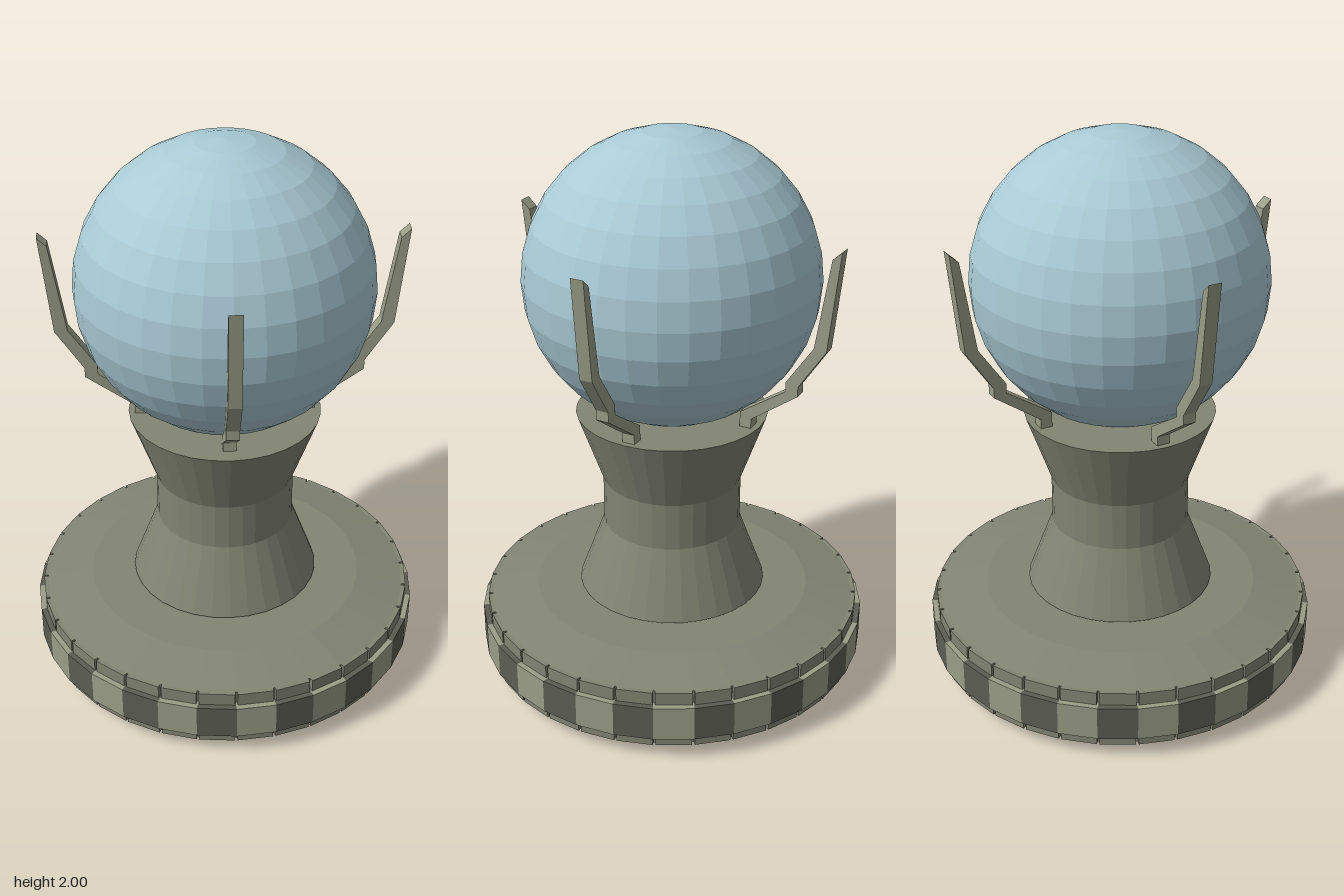
import * as THREE from 'three';
import { mergeGeometries } from 'three/addons/utils/BufferGeometryUtils.js';

const SIDES = 32;

function material(color) {
  return new THREE.MeshStandardMaterial({ color, flatShading: true });
}

function named(name, geometry, mat) {
  const mesh = new THREE.Mesh(geometry, mat);
  mesh.name = name;
  return mesh;
}

function lathe(points) {
  return new THREE.LatheGeometry(points.map(([r, y]) => new THREE.Vector2(r, y)), SIDES);
}

// Ring of upright blocks whose outer faces lie on a 32-sided drum
function blockRing(radius, y0, y1, depth, fill, start = 0, step = 1) {
  const apothem = radius * Math.cos(Math.PI / SIDES);
  const width = 2 * radius * Math.sin(Math.PI / SIDES) * fill;
  const blocks = [];
  for (let i = start; i < SIDES; i += step) {
    const block = new THREE.BoxGeometry(width, y1 - y0, depth);
    block.translate(0, (y0 + y1) / 2, apothem - depth / 2);
    block.rotateY(((i + 0.5) / SIDES) * Math.PI * 2);
    blocks.push(block);
  }
  return mergeGeometries(blocks);
}

export function createModel() {
  const model = new THREE.Group();
  model.name = 'orbOnPedestal';
  const stone = material(0x828573);
  const paleStone = material(0x9a9d87);
  const darkStone = material(0x5c5e53);
  const glass = material(0xa9cad5);

  // Round base: bevelled core, notched rim and a two-tone band of panels
  const base = new THREE.Group();
  base.name = 'base';
  base.add(
    named('baseCore', lathe([[0, 0], [0.48, 0], [0.67, 0.05], [0.67, 0.265], [0.5, 0.3], [0, 0.3]]), stone),
    named('notchedRim', blockRing(0.685, 0.05, 0.265, 0.04, 0.93), stone),
    named('paleBandPanels', blockRing(0.705, 0.09, 0.217, 0.045, 1, 0, 2), paleStone),
    named('darkBandPanels', blockRing(0.705, 0.09, 0.217, 0.045, 1, 1, 2), darkStone),
  );
  model.add(base);

  // Waisted pedestal, just clear of the base
  model.add(named('pedestal', lathe([
    [0, 0.313], [0.34, 0.313], [0.248, 0.56], [0.248, 0.735], [0.34, 0.995], [0, 0.995],
  ]), stone));

  // Faceted orb
  const orb = named('orb', new THREE.SphereGeometry(0.512, 32, 16), glass);
  orb.position.y = 1.488;
  model.add(orb);

  // Four bent prongs holding the orb
  const outline = [
    [0.275, 0.995], [0.317, 0.995], [0.317, 1.03], [0.485, 1.15], [0.485, 1.185], [0.58, 1.33],
    [0.617, 1.68], [0.585, 1.65], [0.535, 1.335], [0.44, 1.195], [0.44, 1.16], [0.275, 1.05],
  ].map(([x, y]) => new THREE.Vector2(x, y));
  const prongGeometry = new THREE.ExtrudeGeometry(new THREE.Shape(outline), { depth: 0.046, bevelEnabled: false });
  prongGeometry.translate(0, 0, -0.023);
  ['left', 'back', 'right', 'front'].forEach((side, i) => {
    const prong = named(side + 'Prong', prongGeometry, paleStone);
    prong.rotation.y = (i * Math.PI) / 2;
    if (side === 'front') prong.position.z = -0.035;
    model.add(prong);
  });

  return model;
}
